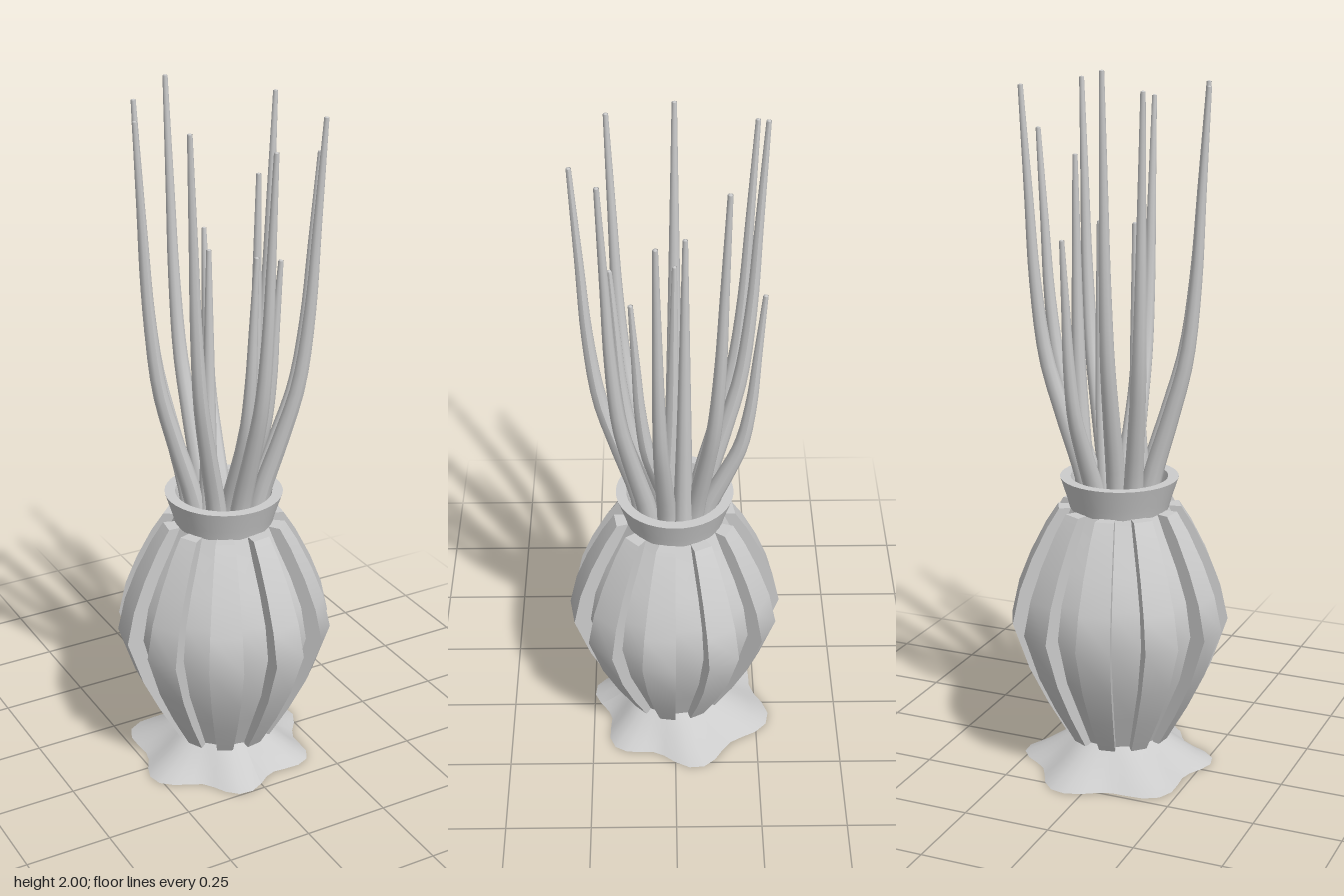
import * as THREE from 'three';
import { mergeGeometries } from 'three/addons/utils/BufferGeometryUtils.js';

const material = new THREE.MeshStandardMaterial({ color: 0xcccccc, side: THREE.DoubleSide });

// Surface between two rows of points; smooth along the rows, hard at the borders
function strip(a, b) {
  const pos = [], index = [];
  a.forEach((p, i) => {
    pos.push(...p, ...b[i]);
    if (i) {
      const k = 2 * i;
      index.push(k - 2, k, k + 1, k - 2, k + 1, k - 1);
    }
  });
  const g = new THREE.BufferGeometry();
  g.setAttribute('position', new THREE.Float32BufferAttribute(pos, 3));
  g.setIndex(index);
  g.computeVertexNormals();
  return g;
}

// Profile of [radius, height] pairs turned to an angle around y
const turn = (profile, a) => profile.map(([r, y]) => [r * Math.cos(a), y, r * Math.sin(a)]);

function add(group, name, geometry) {
  const mesh = new THREE.Mesh(geometry, material);
  mesh.name = name;
  group.add(mesh);
}

// Matching heights for the recessed wall and the raised ribs
const wall = [[0.125, 0.08], [0.175, 0.19], [0.225, 0.3], [0.262, 0.44], [0.245, 0.54], [0.21, 0.63], [0.165, 0.72], [0.14, 0.775]];
const rib = [[0.15, 0.08], [0.212, 0.19], [0.265, 0.3], [0.312, 0.44], [0.29, 0.54], [0.255, 0.63], [0.21, 0.72], [0.175, 0.775]];

// Stalks: tip x, height, z, then foot x, z
const stalks = [
  [-0.155, 1.95, -0.215, -0.07, -0.07], [-0.05, 2.0, -0.235, -0.025, -0.075],
  [0.065, 1.56, -0.235, 0.035, -0.08], [0.23, 1.95, -0.13, 0.07, -0.05],
  [0.12, 1.76, -0.025, 0.095, -0.022], [0.265, 1.82, 0.05, 0.085, 0.02],
  [0.11, 1.56, 0.115, 0.035, 0.0], [0.195, 1.95, 0.19, 0.065, 0.07],
  [0.005, 1.6, 0.17, 0.0, 0.03], [0.005, 1.9, 0.265, 0.0, 0.09],
  [-0.19, 1.95, 0.175, -0.055, 0.065], [-0.255, 1.95, -0.002, -0.085, 0.002],
  [-0.045, 1.58, 0.0, -0.06, 0.018],
];

// Tapered round stalk that bends outward, then rises almost straight
function stalkGeometry([tx, ty, tz, fx, fz]) {
  const steps = [[0, 0], [0.06, 0.07], [0.22, 0.4], [0.36, 0.66], [0.55, 0.82], [0.75, 0.9], [1, 1]];
  const curve = new THREE.CatmullRomCurve3(steps.map(([t, out]) => new THREE.Vector3(
    THREE.MathUtils.lerp(fx, tx, out),
    THREE.MathUtils.lerp(0.79, ty, t),
    THREE.MathUtils.lerp(fz, tz, out))));
  const rows = 20, sides = 10;
  const g = new THREE.TubeGeometry(curve, rows, 1, sides);
  const p = g.attributes.position, v = new THREE.Vector3();
  for (let i = 0; i < p.count; i++) {
    const t = Math.floor(i / (sides + 1)) / rows;
    const c = curve.getPointAt(t);
    v.fromBufferAttribute(p, i).sub(c).multiplyScalar(0.03 - 0.023 * Math.pow(t, 0.9)).add(c);
    p.setXYZ(i, v.x, v.y, v.z);
  }
  const cap = new THREE.SphereGeometry(0.007, 8, 4).translate(tx, ty - 0.004, tz);
  g.computeVertexNormals();
  return mergeGeometries([g, cap]);
}

export function createModel() {
  const model = new THREE.Group();
  model.name = 'vaseWithStalks';

  // Body: ten raised ribs alternating with ten recessed panels
  const step = Math.PI / 10;
  const ribs = [], panels = [];
  for (let k = 0; k < 20; k++) {
    const a = k * step, b = a + step;
    const w0 = turn(wall, a), w1 = turn(wall, b);
    panels.push(strip(w0, w1));
    if (k % 2) continue;
    const r0 = turn(rib, a), r1 = turn(rib, b), end = rib.length - 1;
    ribs.push(strip(r0, r1), strip(w0, r0), strip(r1, w1),
      strip([w0[0], r0[0]], [w1[0], r1[0]]),
      strip([r0[end], w0[end]], [r1[end], w1[end]]));
  }
  add(model, 'recessedPanels', mergeGeometries(panels));
  add(model, 'raisedRibs', mergeGeometries(ribs));

  // Flared collar with a thick rim and the bed the stalks grow from
  const lathe = (pts) => new THREE.LatheGeometry(pts.map(([r, y]) => new THREE.Vector2(r, y)), 40);
  add(model, 'collar', mergeGeometries([
    lathe([[0.14, 0.77], [0.148, 0.8], [0.168, 0.862]]),
    lathe([[0.168, 0.862], [0.138, 0.862]]),
    lathe([[0.138, 0.862], [0.122, 0.8]]),
  ]));
  add(model, 'bed', lathe([[0.125, 0.805], [0, 0.805]]));

  // Thin ruffled foot, open underneath
  const foot = lathe([[0.27, 0], [0.225, 0.022], [0.18, 0.05], [0.125, 0.085]]);
  const p = foot.attributes.position;
  for (let i = 0; i < p.count; i++) {
    const x = p.getX(i), z = p.getZ(i), r = Math.hypot(x, z), a = Math.atan2(z, x);
    const rim = 0.252 + 0.026 * Math.cos(6 * (a - Math.PI / 4)) - 0.022 * Math.sin(a) - 0.004 * Math.cos(a);
    const t = (r - 0.125) / 0.145;
    const s = (0.125 + (rim - 0.125) * t) / r;
    p.setXYZ(i, x * s, p.getY(i), z * s);
  }
  foot.computeVertexNormals();
  add(model, 'ruffledFoot', foot);

  // Stalks
  stalks.forEach((s) => add(model, 'stalk', stalkGeometry(s)));
  return model;
}
